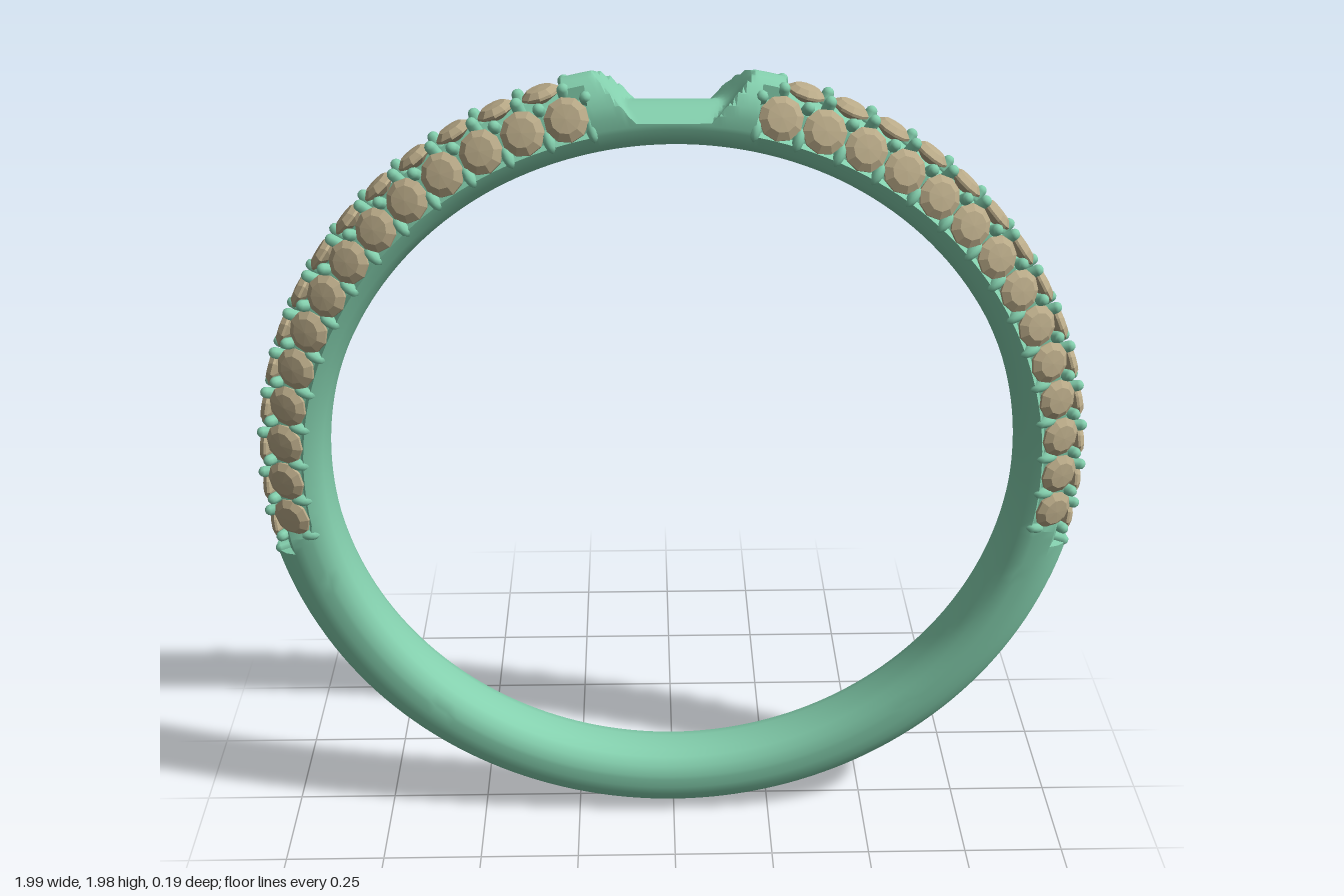
import * as THREE from 'three';
import { mergeGeometries, toCreasedNormals } from 'three/addons/utils/BufferGeometryUtils.js';

const RAD = Math.PI / 180;
const PITCH = 6.23, COUNT = 14;      // stone spacing in degrees, stones per row
const SIDE_START = 14.5, CROWN_START = 17.2;

// Half cross-sections as [radius, z], from the bore out to the crown
const INNER = [[0.83, 0], [0.831, 0.03], [0.838, 0.055], [0.855, 0.075], [0.88, 0.084]];
const PLAIN = [...INNER, [0.89, 0.085], [0.915, 0.085], [0.94, 0.081], [0.965, 0.066], [0.985, 0.045], [0.996, 0.022], [1, 0]];
const SIDE_CUT = [...INNER, [0.888, 0.068], [0.92, 0.066], [0.945, 0.058], [0.955, 0.042], [0.985, 0.04], [0.996, 0.022], [1, 0]];
const FULL_CUT = [...INNER, [0.888, 0.068], [0.92, 0.066], [0.945, 0.06], [0.957, 0.045], [0.96, 0.035], [0.96, 0.02], [0.96, 0]];

// Height of the scooped notch at the top of the ring
function notchHeight(x, z) {
  const t = THREE.MathUtils.clamp((Math.abs(x) + 4 * z * z - 0.11) / 0.075, 0, 1);
  const s = 0.6 * t + 0.4 * t * t * (3 - 2 * t);
  return 0.915 + 0.075 * s - 3 * z * z * (1 - t);
}

// Stations from top to bottom; doubled angles make the sharp ends of the recesses
function bandStations() {
  const out = [];
  const run = (from, to, steps, section) => {
    for (let i = 0; i <= steps; i++) out.push([from + (to - from) * i / steps, section]);
  };
  run(0, 11.3, 22, PLAIN);
  run(11.31, 14.2, 3, SIDE_CUT);
  run(14.21, 98.8, 42, FULL_CUT);
  run(98.81, 101.4, 2, FULL_CUT);
  run(101.41, 180, 40, PLAIN);
  // Side walls close slightly before the crown row does
  for (const s of out) if (s[0] > 98.8 && s[0] < 101.405) {
    s[1] = PLAIN.map((p, i) => (i < 8 ? p : FULL_CUT[i]));
  }
  const mirrored = out.slice(0, -1).reverse().map(([a, s]) => [360 - a, s]);
  return [...out, ...mirrored];
}

function bandGeometry() {
  const stations = bandStations(), pos = [], index = [];
  const n = 2 * (PLAIN.length - 1);
  for (const [deg, half] of stations) {
    const a = deg * RAD;
    const loop = [...half, ...half.slice(1, -1).reverse().map(([r, z]) => [r, -z])];
    for (const [r, z] of loop) {
      const x = r * Math.sin(a);
      let y = r * Math.cos(a);
      if (y > 0.8 && Math.abs(x) < 0.2 && r > 0.9) y = Math.min(y, notchHeight(x, z));
      pos.push(x, y + 1, z);
    }
  }
  for (let i = 0; i < stations.length - 1; i++) {
    for (let j = 0; j < n; j++) {
      const k = (j + 1) % n, p = i * n, q = p + n;
      index.push(p + j, q + j, p + k, q + j, q + k, p + k);
    }
  }
  const g = new THREE.BufferGeometry();
  g.setAttribute('position', new THREE.Float32BufferAttribute(pos, 3));
  g.setIndex(index);
  return toCreasedNormals(g, 0.6);
}

// Copy of a part set on the ring, its own y axis tilted from radial towards z
function place(geometry, deg, r, z, tilt) {
  const a = deg * RAD, t = tilt * RAD;
  const tangent = new THREE.Vector3(Math.cos(a), -Math.sin(a), 0);
  const normal = new THREE.Vector3(Math.sin(a) * Math.cos(t), Math.cos(a) * Math.cos(t), Math.sin(t));
  const m = new THREE.Matrix4().makeBasis(tangent, normal, tangent.clone().cross(normal));
  m.setPosition(r * Math.sin(a), 1 + r * Math.cos(a), z);
  return geometry.clone().applyMatrix4(m);
}

// Faceted round stone: pavilion, girdle, crown and flat table
function stoneGeometry(r) {
  const profile = [[0, -0.025], [r, -0.004], [r, 0.002], [r * 0.66, 0.013], [0, 0.015]];
  return new THREE.LatheGeometry(profile.map(([x, y]) => new THREE.Vector2(x, y)), 10);
}

export function createModel() {
  const group = new THREE.Group();
  const metal = new THREE.MeshStandardMaterial({ color: 0x84d0ae });
  const gem = new THREE.MeshStandardMaterial({ color: 0xb9aa88, flatShading: true });
  const add = (name, geometry, material) => {
    const mesh = new THREE.Mesh(geometry, material);
    mesh.name = name;
    group.add(mesh);
  };
  add('band', bandGeometry(), metal);

  const sideStone = stoneGeometry(0.05), crownStone = stoneGeometry(0.044);
  const bead = new THREE.CapsuleGeometry(0.014, 0.022, 3, 8);
  const claw = new THREE.SphereGeometry(0.016, 8, 6).scale(0.85, 1, 1.7);

  for (const [label, dir] of [['left', 1], ['right', -1]]) {
    // Crown row facing outwards
    const stones = [], prongs = [];
    for (let i = 0; i < COUNT; i++) stones.push(place(crownStone, dir * (CROWN_START + i * PITCH), 0.979, 0, 0));
    for (let i = 0; i <= COUNT; i++) {
      const a = dir * (CROWN_START + (i - 0.5) * PITCH);
      for (const s of [1, -1]) prongs.push(place(bead, a, 0.973, s * 0.03, s * 15));
    }
    add(label + 'CrownStones', mergeGeometries(stones), gem);
    add(label + 'CrownProngs', mergeGeometries(prongs), metal);

    // Front and back rows facing sideways
    for (const [face, s] of [['Front', 1], ['Back', -1]]) {
      const rowStones = [], rowProngs = [];
      for (let i = 0; i < COUNT; i++) rowStones.push(place(sideStone, dir * (SIDE_START + i * PITCH), 0.927, s * 0.066, s * 63));
      for (let i = 0; i <= COUNT; i++) {
        const a = dir * (SIDE_START + (i - 0.5) * PITCH);
        rowProngs.push(place(bead, a, 0.957, s * 0.052, s * 50));
        rowProngs.push(place(claw, a, 0.893, s * 0.074, s * 72));
      }
      add(label + face + 'Stones', mergeGeometries(rowStones), gem);
      add(label + face + 'Prongs', mergeGeometries(rowProngs), metal);
    }
  }
  return group;
}
